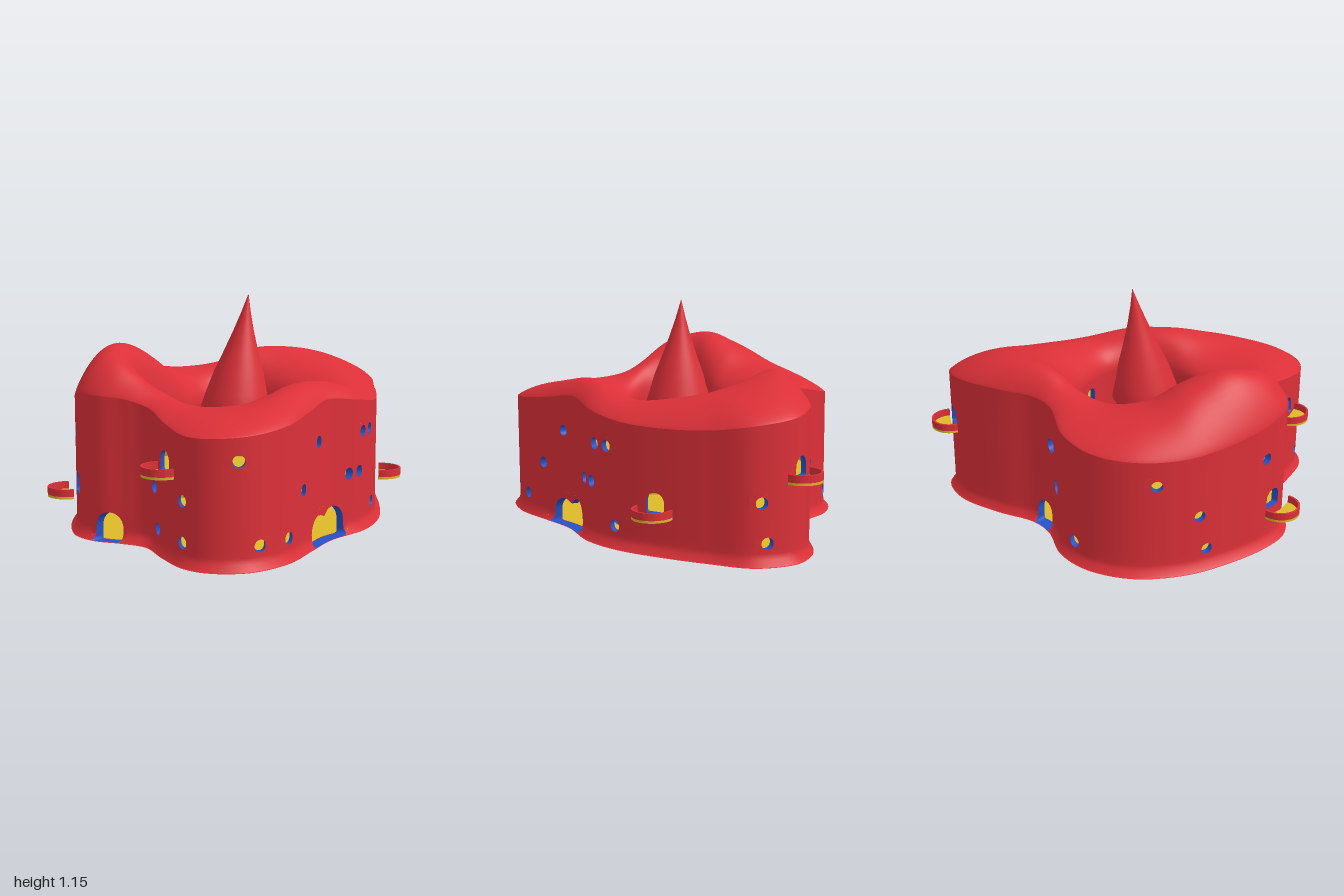
import * as THREE from 'three';
import { mergeVertices } from 'three/addons/utils/BufferGeometryUtils.js';

const CX = -0.14, CZ = 0.085;          // centre of the courtyard and tower
const N = 240, ROWS = 20, DY = 0.028, DA = Math.PI * 2 / N;
const mat = (color) => new THREE.MeshStandardMaterial({ color, side: THREE.DoubleSide });
const red = mat(0xdc3038), yellow = mat(0xdcb828), blue = mat(0x2452c8);

// Outer footprint: x, z, eave height
const OUTER = [
  [-0.14, -0.785, 0.62], [0.085, -0.73, 0.63], [0.235, -0.6, 0.66], [0.325, -0.4, 0.7],
  [0.42, -0.305, 0.71], [0.62, -0.225, 0.71], [0.83, -0.105, 0.7], [0.925, 0.03, 0.68],
  [0.935, 0.11, 0.67], [0.885, 0.27, 0.65], [0.725, 0.405, 0.62], [0.51, 0.557, 0.61],
  [0.3, 0.672, 0.62], [0.085, 0.725, 0.65], [-0.18, 0.705, 0.68], [-0.395, 0.74, 0.65],
  [-0.635, 0.777, 0.62], [-0.85, 0.725, 0.6], [-0.967, 0.59, 0.59], [-0.985, 0.453, 0.59],
  [-0.915, 0.267, 0.62], [-0.825, 0.08, 0.66], [-0.847, -0.053, 0.69], [-0.89, -0.187, 0.7],
  [-0.873, -0.32, 0.7], [-0.775, -0.457, 0.67], [-0.61, -0.6, 0.64], [-0.395, -0.73, 0.62]];
// Courtyard outline: x, z, height of the roof crest in that direction
const INNER = [
  [-0.57, -0.107, 0.855], [-0.476, -0.17, 0.905], [-0.37, -0.178, 0.915], [-0.262, -0.176, 0.86],
  [-0.16, -0.185, 0.77], [-0.02, -0.203, 0.73], [0.14, -0.187, 0.765], [0.225, -0.107, 0.825],
  [0.24, 0.027, 0.82], [0.18, 0.213, 0.735], [0.086, 0.373, 0.7], [-0.086, 0.437, 0.75],
  [-0.235, 0.4, 0.755], [-0.395, 0.293, 0.685], [-0.525, 0.16, 0.68], [-0.59, 0.016, 0.75]];

const wrap = (a) => ((a % (2 * Math.PI)) + 2 * Math.PI) % (2 * Math.PI);
const angleTo = (x, z) => wrap(Math.atan2(z - CZ, x - CX));
const at = (a, r, y) => [CX + Math.cos(a) * r, y, CZ + Math.sin(a) * r];

// Turns a closed outline into a lookup: angle -> radius r and height h
function polar(points) {
  const curve = new THREE.CatmullRomCurve3(points.map(([x, z, h]) => new THREE.Vector3(x, h, z)), true);
  const s = curve.getPoints(720).slice(0, -1).map((p) =>
    ({ a: angleTo(p.x, p.z), r: Math.hypot(p.x - CX, p.z - CZ), h: p.y })).sort((p, q) => p.a - q.a);
  return (angle) => {
    const a = wrap(angle), i = Math.max(0, s.findIndex((p) => p.a > a));
    const q = s[i], p = s[(i + s.length - 1) % s.length];
    const t = wrap(a - p.a) / (wrap(q.a - p.a) || 1);
    return { r: p.r + (q.r - p.r) * t, h: p.h + (q.h - p.h) * t };
  };
}

function quad(out, a, b, c, d, flip) {
  out.push(...(flip ? [a, c, d, a, b, c] : [a, d, c, a, c, b]).flat());
}
function surface(name, positions, material) {
  const g = new THREE.BufferGeometry();
  g.setAttribute('position', new THREE.Float32BufferAttribute(positions, 3));
  const merged = mergeVertices(g, 1e-4);
  merged.computeVertexNormals();
  const mesh = new THREE.Mesh(merged, material);
  mesh.name = name;
  return mesh;
}
// Closed band around the courtyard, f(angle, t) with t from 0 to 1
function band(name, material, rows, f, flip) {
  const out = [];
  for (let i = 0; i < N; i++) for (let j = 0; j < rows; j++) {
    const a = i * DA, b = ((i + 1) % N) * DA, t = j / rows, u = (j + 1) / rows;
    quad(out, f(a, t), f(b, t), f(b, u), f(a, u), flip);
  }
  return surface(name, out, material);
}

// Openings: lobes are [dx, dy, radius] circles about the opening's centre; drop is the straight part below
const round = (x, z, y, r = 0.029) => ({ a: angleTo(x, z), y, lobes: [[0, 0, r]], drop: 0 });
const arch = (x, z, floor, w, h) => ({ a: angleTo(x, z), y: floor + h - w, lobes: [[0, 0, w]], drop: h - w });
function reach(o, c, s) {
  if (o.drop && s < 0) {
    const side = Math.max(...o.lobes.map(([dx, , r]) => dx * Math.sign(c) + r));
    return Math.min(side / Math.max(Math.abs(c), 1e-6), o.drop / -s);
  }
  return Math.max(...o.lobes.map(([dx, dy, r]) => {
    const d = dx * c + dy * s;
    return d + Math.sqrt(Math.max(0, r * r - dx * dx - dy * dy + d * d));
  }));
}

// Wall pierced by openings: front skin, back skin and the blue reveals between them
function piercedWall(name, front, back, top, openings, inward) {
  const skip = new Set(), cells = [];
  for (const o of openings) {
    const i0 = Math.round(o.a / DA), a = i0 * DA;
    const p = at(a, front(a, 0.3), 0), q = at(a + DA, front(a + DA, 0.3), 0);
    const arc = Math.hypot(p[0] - q[0], p[2] - q[2]);
    const w = Math.max(...o.lobes.map(([dx, , r]) => Math.abs(dx) + r));
    const h = Math.max(...o.lobes.map(([, dy, r]) => dy + r));
    const k = Math.ceil(w * 1.08 / arc);
    const j0 = Math.max(0, Math.floor((o.y - (o.drop || w) - 0.002) / DY));
    const j1 = Math.min(ROWS, Math.ceil((o.y + h + 0.004) / DY));
    for (let i = i0 - k; i < i0 + k; i++) for (let j = j0; j < j1; j++) skip.add(((i + N) % N) + ',' + j);
    // Cell border walked counter-clockwise and its matching opening contour
    const x = k * arc, lo = j0 * DY - o.y, hi = j1 * DY - o.y, m = 8, rim = [];
    const corners = [[-x, lo], [x, lo], [x, hi], [-x, hi]];
    corners.forEach((c, n) => {
      const e = corners[(n + 1) % 4];
      for (let s = 0; s < m; s++) rim.push([c[0] + (e[0] - c[0]) * s / m, c[1] + (e[1] - c[1]) * s / m]);
    });
    const hole = rim.map(([u, v]) => {
      const l = Math.hypot(u, v), d = Math.min(l, reach(o, u / l, v / l));
      return [u / l * d, v / l * d];
    });
    const place = (skin) => ([u, v]) => {
      const b = a + u / arc * DA, y = Math.max(0, o.y + v);
      return at(b, skin(b, y), y);
    };
    cells.push({ rim, hole, place });
  }
  const group = new THREE.Group(), reveal = [];
  group.name = name;
  group.position.y = 0.003;            // stands just above the base plates
  [[front, red, inward, 'Face'], [back, yellow, !inward, 'Lining']].forEach(([skin, material, flip, suffix]) => {
    const out = [];
    for (let i = 0; i < N; i++) for (let j = 0; j <= ROWS; j++) {
      if (skip.has(i + ',' + j)) continue;
      const a = i * DA, b = ((i + 1) % N) * DA, y = j * DY;
      const ya = j < ROWS ? y + DY : top(a), yb = j < ROWS ? y + DY : top(b);
      quad(out, at(a, skin(a, y), y), at(b, skin(b, y), y), at(b, skin(b, yb), yb), at(a, skin(a, ya), ya), flip);
    }
    for (const { rim, hole, place } of cells) rim.forEach((_, n) => {
      const k = (n + 1) % rim.length, P = place(skin);
      quad(out, P(rim[n]), P(rim[k]), P(hole[k]), P(hole[n]), flip);
    });
    group.add(surface(name + suffix, out, material));
  });
  for (const { hole, place } of cells) hole.forEach((h, n) => {
    const g = hole[(n + 1) % hole.length], F = place(front), B = place(back);
    quad(reveal, F(h), F(g), B(g), B(h), inward);
  });
  group.add(surface(name + 'Reveals', reveal, blue));
  return group;
}

export function createModel() {
  const model = new THREE.Group();
  const outer = polar(OUTER), inner = polar(INNER);
  const wallR = (a, y) => outer(a).r - 0.03 * (1 - Math.exp(-y / 0.012));
  const liningR = (a) => outer(a).r - 0.065;
  const yardR = (a) => inner(a).r;
  const YARD_TOP = 0.562;

  // Outer wall with windows, balcony doors and three entrances; balconies are x, z, floor
  const balconies = [[0.9, 0.015, 0.395], [0.487, 0.575, 0.2], [-0.9, 0.262, 0.395], [-0.842, -0.405, 0.2]];
  const entrance = { a: angleTo(-0.203, 0.69), y: 0.06, lobes: [[0.06, 0, 0.075], [-0.07, 0.01, 0.085]], drop: 0.06 };
  const windows = [
    [-0.265, 0.69, 0.49], [0.115, 0.69, 0.49], [0.205, 0.68, 0.49], [-0.875, 0.69, 0.49],
    [-0.45, 0.72, 0.295], [-0.015, 0.69, 0.295], [0.075, 0.69, 0.295],
    [-0.78, 0.73, 0.105], [-0.6, 0.75, 0.105], [0.26, 0.67, 0.105],
    [0.88, 0.22, 0.295], [0.885, 0.205, 0.105], [0.31, -0.4, 0.49, 0.037], [0.28, -0.47, 0.295, 0.038], [0.17, -0.66, 0.105, 0.033],
    [-0.26, -0.75, 0.49], [-0.45, -0.68, 0.295], [-0.5, -0.65, 0.105], [-0.78, -0.44, 0.49],
    [-0.83, 0.14, 0.295], [-0.84, 0.17, 0.105], [-0.95, 0.42, 0.295], [-0.95, 0.43, 0.105]];
  model.add(piercedWall('outerWall', wallR, liningR, (a) => outer(a).h, [
    ...windows.map((w) => round(...w)), entrance,
    ...balconies.map(([x, z, y]) => arch(x, z, y, 0.048, 0.1)),
    arch(0.37, -0.345, 0, 0.06, 0.14), arch(-0.865, -0.13, 0, 0.075, 0.14)], false));

  // Courtyard wall and tower drum, with doors where the bridges land
  const bridges = [[-0.57, -0.03, 0.2], [0.23, -0.06, 0.2], [0.17, 0.23, 0.4], [-0.38, 0.3, 0.4]];
  const bridgeDoors = bridges.map(([x, z, y]) => arch(x, z, y, 0.04, 0.12));
  model.add(piercedWall('courtyardWall', yardR, (a) => yardR(a) + 0.03, () => YARD_TOP,
    [...bridgeDoors, arch(-0.15, 0.43, 0, 0.075, 0.15)], true));
  model.add(piercedWall('towerDrum', () => 0.16, () => 0.14, () => 0.57,
    [...bridgeDoors, arch(-0.15, 0.43, 0, 0.042, 0.125)], false));

  // Rolling roof: rises from the eave to the crest, then rolls down into the courtyard
  model.add(band('roof', red, 28, (a, t) => {
    const o = outer(a), n = inner(a), ro = o.r - 0.03, mid = (ro + n.r) / 2;
    if (t < 0.5) {
      const s = 1 - Math.cos(t * Math.PI);
      return at(a, ro + (mid - ro) * s, o.h + (n.h - o.h) * Math.pow(Math.sin(s * Math.PI / 2), 0.78));
    }
    const p = (t * 2 - 1) * Math.PI / 2;
    return at(a, mid + (n.r - mid) * Math.sin(p), YARD_TOP + (n.h - YARD_TOP) * Math.cos(p));
  }, false));

  // Underside, ring floors and courtyard floor
  const ring = (name, material, r0, r1, y, flip) =>
    model.add(band(name, material, 1, (a, t) => at(a, r0(a) + (r1(a) - r0(a)) * t, y), flip));
  ring('underside', red, (a) => outer(a).r, (a) => yardR(a) + 0.015, 0, true);
  for (const y of [0.005, 0.2, 0.4]) ring('ringFloor', yellow, liningR, (a) => yardR(a) + 0.03, y, false);
  ring('courtyardFloor', yellow, (a) => yardR(a) + 0.015, () => 0, 0, false);

  // Leaning spire
  const profile = [[0.16, 0.57], [0.18, 0.57], [0.155, 0.66], [0.127, 0.76], [0.09, 0.86], [0.052, 0.97], [0.025, 1.06], [0, 1.155]];
  const cone = new THREE.LatheGeometry(profile.map(([r, y]) => new THREE.Vector2(r, y)), 48);
  const pos = cone.attributes.position;
  for (let i = 0; i < pos.count; i++) {
    const s = Math.pow(Math.max(0, pos.getY(i) - 0.57) / 0.58, 1.2);
    pos.setX(i, pos.getX(i) + 0.08 * s);
    pos.setZ(i, pos.getZ(i) + 0.025 * s);
  }
  const spire = new THREE.Mesh(cone, red);
  spire.name = 'towerSpire';
  spire.position.set(CX, 0, CZ);
  model.add(spire);

  // Bridges from the tower to the courtyard wall
  for (const [x, z, y] of bridges) {
    const g = new THREE.Group(), a = angleTo(x, z), r0 = 0.145, r1 = yardR(a) + 0.03;
    g.name = 'bridge';
    const part = (name, w, h, off, py, material) => {
      const b = new THREE.Mesh(new THREE.BoxGeometry(w, h, r1 - r0), material);
      b.name = name;
      b.position.set(off, py, (r0 + r1) / 2);
      g.add(b);
    };
    part('bridgeDeck', 0.1, 0.012, 0, -0.004, yellow);
    for (const s of [-1, 1]) part('bridgeRail', 0.006, 0.03, s * 0.052, 0.005, red);
    g.position.set(CX, y, CZ);
    g.rotation.y = Math.PI / 2 - a;
    model.add(g);
  }

  // Rounded balconies: yellow deck and red parapet
  const R = 0.1, SWEEP = Math.PI + 0.3;
  const lip = [[R - 0.01, 0], [R, 0], [R, 0.036], [R - 0.01, 0.036], [R - 0.01, 0]].map(([r, y]) => new THREE.Vector2(r, y));
  for (const [x, z, y] of balconies) {
    const a = angleTo(x, z), p = at(a - 0.05, wallR(a - 0.05, y), y), q = at(a + 0.05, wallR(a + 0.05, y), y);
    const g = new THREE.Group();
    g.name = 'balcony';
    const deck = new THREE.Mesh(new THREE.CylinderGeometry(R, R, 0.012, 40, 1, false, -SWEEP / 2, SWEEP), yellow);
    deck.name = 'balconyDeck';
    deck.position.y = -0.006;
    const parapet = new THREE.Mesh(new THREE.LatheGeometry(lip, 40, -SWEEP / 2, SWEEP).toNonIndexed(), red);
    parapet.name = 'balconyParapet';
    parapet.geometry.computeVertexNormals();
    g.add(deck, parapet);
    g.position.set(x, y, z);
    g.rotation.y = Math.atan2(q[2] - p[2], p[0] - q[0]);
    model.add(g);
  }
  return model;
}
